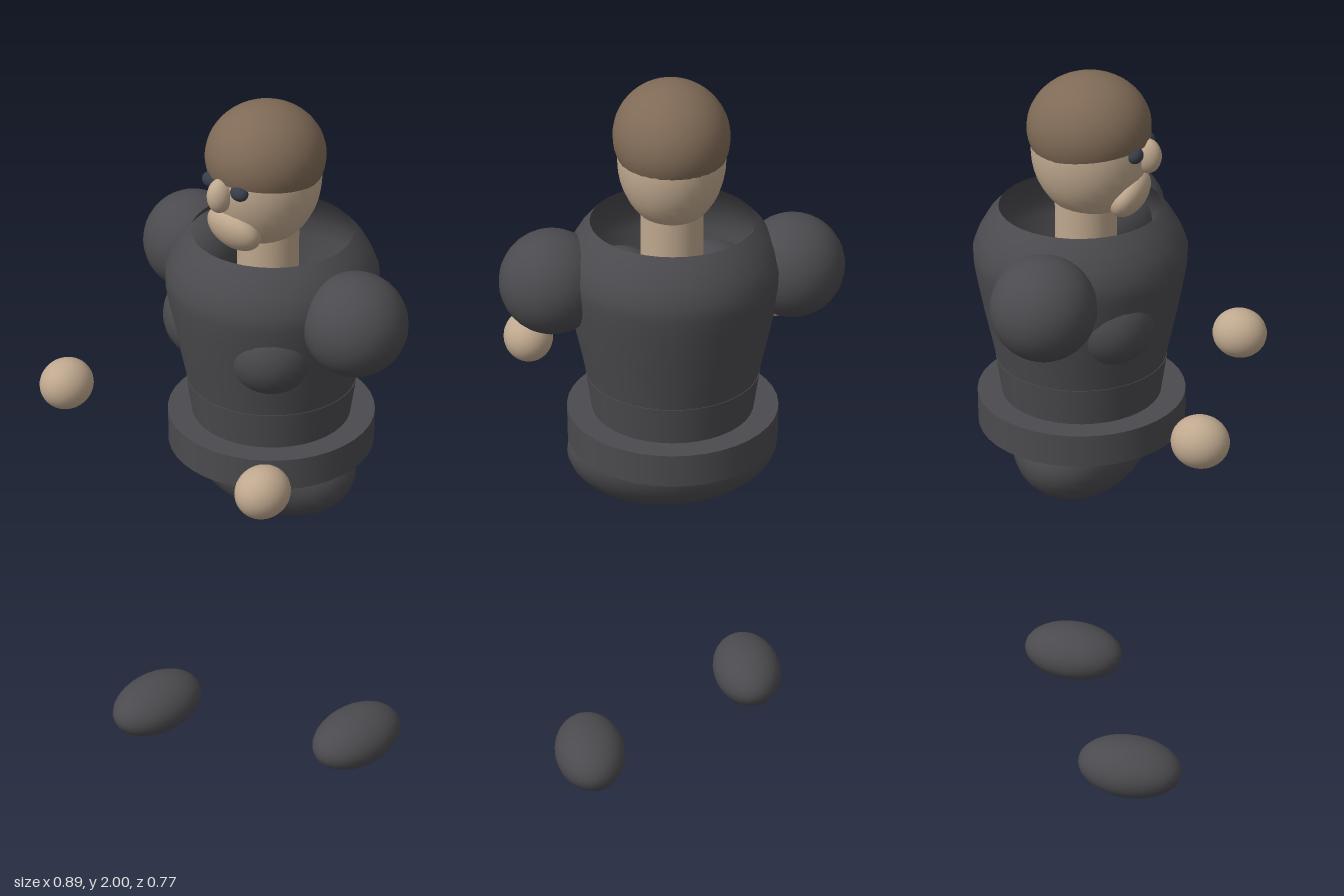
import * as THREE from 'three';

const material = (name, color, side = THREE.FrontSide) => {
  const m = new THREE.MeshStandardMaterial({ color, side });
  m.name = name;
  return m;
};

export function createModel() {
  const suit = material('charcoal suit', 0x4b4b4f, THREE.DoubleSide);
  const skin = material('skin', 0xbfa88e);
  const hairBrown = material('brown hair', 0x7f6a56, THREE.DoubleSide);
  const eyeDark = material('dark eyes', 0x363c48);

  const model = new THREE.Group();
  model.name = 'figure';
  const axisZ = -0.11; // body axis

  const add = (name, geometry, mat, [x, y, z]) => {
    const mesh = new THREE.Mesh(geometry, mat);
    mesh.name = name;
    mesh.position.set(x, y, z);
    model.add(mesh);
    return mesh;
  };
  const blob = (name, mat, position, [rx, ry, rz]) =>
    add(name, new THREE.SphereGeometry(1, 28, 20).scale(rx, ry, rz), mat, position);

  // Jacket: hollow shell, open at the collar
  const profile = [
    [0.222, 1.2], [0.236, 1.27], [0.253, 1.35], [0.268, 1.43], [0.278, 1.49],
    [0.278, 1.53], [0.262, 1.57], [0.238, 1.61], [0.21, 1.64],
  ].map(([r, y]) => new THREE.Vector2(r, y));
  add('torso', new THREE.LatheGeometry(profile, 40), suit, [0, 0, axisZ]);

  // Waist, belt and hips
  add('waist', new THREE.CylinderGeometry(0.227, 0.203, 0.17, 40), suit, [0, 1.13, axisZ]);
  add('belt', new THREE.CylinderGeometry(0.277, 0.277, 0.09, 40), suit, [0, 1.065, axisZ]);
  blob('hips', suit, [0, 0.985, -0.105], [0.28, 0.16, 0.18]);

  // Shoulders and chest, mirrored
  for (const [side, s] of [['left', 1], ['right', -1]]) {
    blob(`${side}Shoulder`, suit, [s * 0.31, 1.49, axisZ], [0.135, 0.135, 0.135]);
    blob(`${side}Chest`, suit, [s * 0.12, 1.385, 0.003], [0.122, 0.122, 0.122]);
    blob(`${side}Eye`, eyeDark, [s * 0.053, 1.817, 0.053], [0.026, 0.02, 0.02]);
  }

  // Hands held forward, feet in mid stride
  blob('leftHand', skin, [0.342, 1.15, 0.235], [0.067, 0.069, 0.075]);
  blob('rightHand', skin, [-0.345, 1.195, 0.31], [0.067, 0.069, 0.075]);
  blob('leftFoot', suit, [0.247, 0.08, -0.22], [0.097, 0.08, 0.147]);
  blob('rightFoot', suit, [-0.25, 0.08, 0.1], [0.097, 0.08, 0.147]);

  // Neck and head
  add('neck', new THREE.CylinderGeometry(0.08, 0.08, 0.24, 28), skin, [0, 1.6, -0.095]);
  blob('head', skin, [0, 1.8, -0.085], [0.137, 0.18, 0.151]);
  blob('jaw', skin, [0, 1.69, 0.023], [0.085, 0.064, 0.045]).rotation.x = 0.5;
  blob('nose', skin, [0, 1.797, 0.07], [0.03, 0.046, 0.036]);

  // Hair cap, lower at the back
  const hair = new THREE.SphereGeometry(1, 36, 18, 0, Math.PI * 2, 0, Math.PI * 0.61);
  add('hair', hair.scale(0.147, 0.14, 0.16), hairBrown, [0, 1.86, -0.085]).rotation.x = -0.12;

  return model;
}
